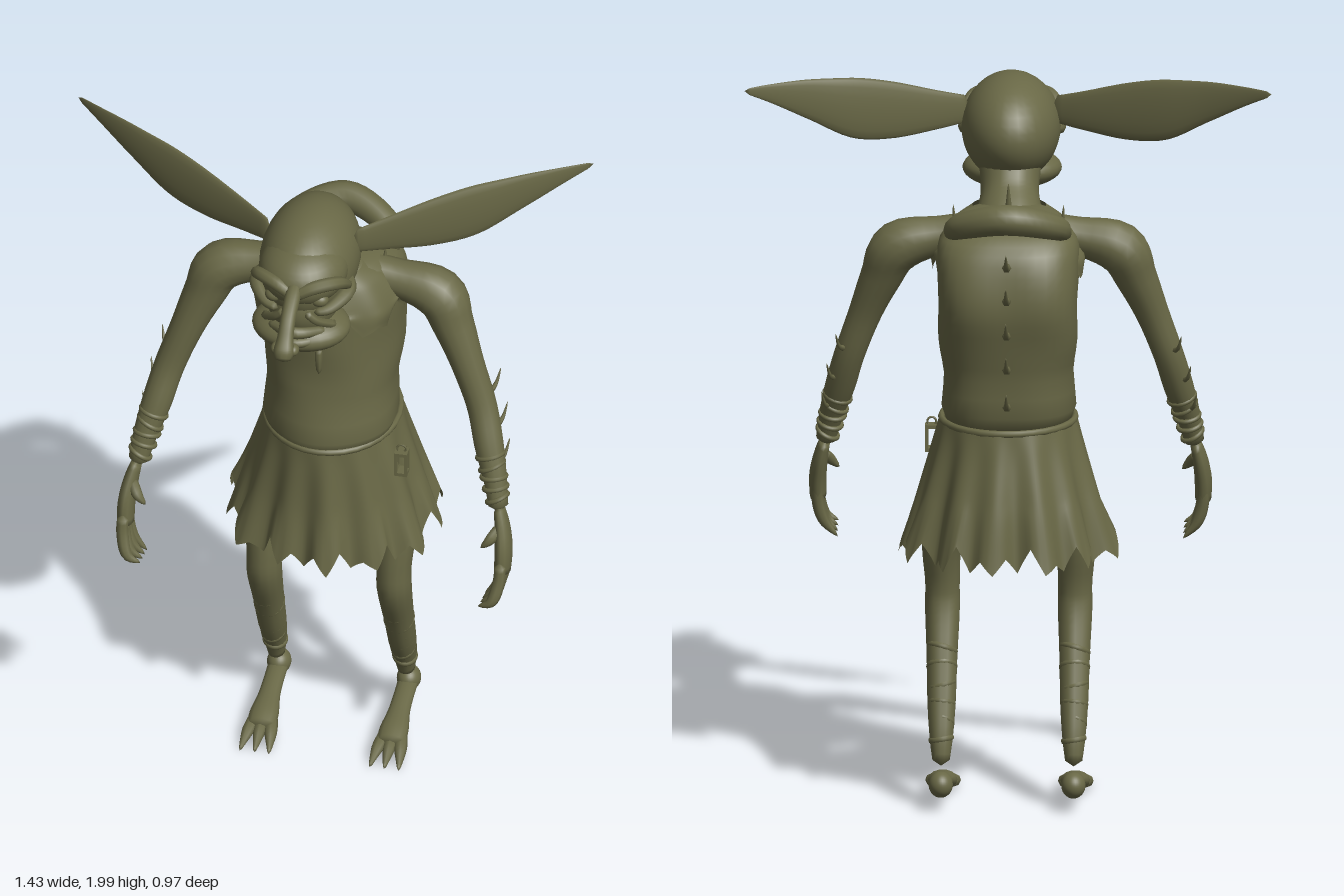
import * as THREE from 'three';
import { mergeVertices } from 'three/addons/utils/BufferGeometryUtils.js';

const skin = new THREE.MeshStandardMaterial({ color: 0x696846, side: THREE.DoubleSide });
skin.name = 'olive';

// Curve that keeps its control points evenly spaced in t
function evenCurve(points) {
  const c = new THREE.CatmullRomCurve3(points.map(p => new THREE.Vector3(...p)), false, 'catmullrom');
  c.getUtoTmapping = u => u;
  return c;
}

function smooth(geo) {
  geo.deleteAttribute('uv');
  geo.deleteAttribute('normal');
  const g = mergeVertices(geo, 1e-5);
  g.computeVertexNormals();
  return g;
}

function add(group, name, geo) {
  const m = new THREE.Mesh(geo, skin);
  m.name = name;
  group.add(m);
  return m;
}

// Tube of varying radius, points are [x, y, z, radius], squashed along the axes
function limb(group, name, pts, n = 24, sides = 12, squash = [1, 1, 1]) {
  const path = evenCurve(pts.map(p => p.slice(0, 3)));
  const rad = evenCurve(pts.map(p => [p[3], 0, 0]));
  const geo = new THREE.TubeGeometry(path, n, 1, sides);
  const pos = geo.attributes.position, v = new THREE.Vector3(), s = new THREE.Vector3(...squash);
  for (let i = 0; i <= n; i++) {
    const c = path.getPoint(i / n);
    const r = i === 0 || i === n ? 0 : Math.max(0.001, rad.getPoint(i / n).x);
    for (let j = 0; j <= sides; j++) {
      const k = i * (sides + 1) + j;
      v.fromBufferAttribute(pos, k).sub(c).multiplyScalar(r).multiply(s).add(c);
      pos.setXYZ(k, v.x, v.y, v.z);
    }
  }
  return add(group, name, smooth(geo));
}

// Elliptical shell from rows [y, centre z, half width, half depth], bottom row first
function shell(group, name, rows, pleat, rag = () => 0, seg = 48) {
  const a = evenCurve(rows.map(r => r.slice(0, 3))), b = evenCurve(rows.map(r => [r[3], 0, 0]));
  const geo = new THREE.CylinderGeometry(1, 1, 1, seg, 24, true);
  const pos = geo.attributes.position, uv = geo.attributes.uv;
  for (let i = 0; i < pos.count; i++) {
    const t = uv.getY(i), ang = (uv.getX(i) % 1) * Math.PI * 2, p = a.getPoint(t), k = pleat(ang, t);
    pos.setXYZ(i, Math.sin(ang) * p.z * k, p.x + rag(ang, t), p.y + Math.cos(ang) * b.getPoint(t).x * k);
  }
  return add(group, name, smooth(geo));
}

function ball(group, name, [x, y, z], [rx, ry, rz]) {
  const m = add(group, name, new THREE.SphereGeometry(1, 32, 20));
  m.position.set(x, y, z);
  m.scale.set(rx, ry, rz);
}

function ring(group, name, [x, y, z], r, tube, squash = [1, 1, 1], tilt = [0, 0, 0]) {
  const m = add(group, name, new THREE.TorusGeometry(r, tube, 8, 32).rotateX(Math.PI / 2).scale(...squash));
  m.position.set(x, y, z);
  m.rotation.set(...tilt);
}

// Curved thorn from a root to a tip, bending up
function thorn(group, name, [x, y, z], [dx, dy, dz], r) {
  limb(group, name, [[x, y, z, r], [x + dx * 0.6, y + dy * 0.25, z + dz * 0.6, r * 0.55],
    [x + dx, y + dy, z + dz, 0.001]], 10, 6);
}

// Ragged hem: triangle teeth of uneven depth, fading upward
const teeth = (n, depth) => (ang, t) => {
  const f = ang / (Math.PI * 2) * n, w = Math.abs((f % 1) * 2 - 1);
  return depth * w * (0.65 + 0.35 * Math.sin(Math.round(f) % n * 2.4)) * Math.max(0, 1 - t * 2.5);
};

// Fuller corners on the rear half of the back
const broadBack = (ang, amount) => Math.cos(ang) < 0 ? amount * Math.sin(2 * ang) ** 2 : 0;

function buildHead() {
  const g = new THREE.Group();
  g.name = 'head';
  ball(g, 'cranium', [0, 1.81, 0.112], [0.135, 0.147, 0.213]);
  ball(g, 'forehead', [0, 1.835, 0.2], [0.122, 0.09, 0.135]);
  ball(g, 'face', [0, 1.745, 0.2], [0.1, 0.11, 0.12]);
  ball(g, 'jaw', [0, 1.665, 0.23], [0.135, 0.055, 0.11]);
  limb(g, 'upperLip', [[-0.08, 1.69, 0.28, 0.012], [0, 1.705, 0.332, 0.017], [0.08, 1.69, 0.28, 0.012]], 16, 8);
  limb(g, 'lowerLip', [[-0.08, 1.672, 0.29, 0.012], [0, 1.674, 0.337, 0.014], [0.08, 1.672, 0.29, 0.012]], 16, 8);
  limb(g, 'nose', [[0, 1.85, 0.3, 0.02], [0, 1.835, 0.35, 0.022], [0, 1.805, 0.405, 0.021],
    [0, 1.765, 0.44, 0.023], [0, 1.735, 0.46, 0.029], [0, 1.712, 0.475, 0.018]], 24, 12);
  limb(g, 'neck', [[0, 1.53, -0.11, 0.13], [0, 1.59, -0.075, 0.1], [0, 1.65, -0.025, 0.08],
    [0, 1.71, 0.02, 0.083], [0, 1.77, 0.06, 0.09]], 20, 20);
  for (const s of [-1, 1]) {
    limb(g, 'brow', [[s * 0.13, 1.8, 0.21, 0.012], [s * 0.11, 1.85, 0.275, 0.018],
      [s * 0.055, 1.855, 0.316, 0.019], [0, 1.83, 0.333, 0.016]], 16, 8);
    ball(g, 'eye', [s * 0.062, 1.798, 0.29], [0.026, 0.02, 0.022]);
    limb(g, 'cheekbone', [[s * 0.115, 1.79, 0.15, 0.012], [s * 0.125, 1.782, 0.215, 0.022],
      [s * 0.09, 1.765, 0.28, 0.016], [s * 0.05, 1.76, 0.302, 0.01]], 16, 8);
    limb(g, 'cheekFold', [[s * 0.03, 1.765, 0.315, 0.01], [s * 0.06, 1.73, 0.3, 0.012], [s * 0.1, 1.69, 0.25, 0.014]], 12, 6);
    ball(g, 'nostril', [s * 0.024, 1.735, 0.445], [0.015, 0.016, 0.02]);
    // Long flat ear sweeping out and back
    limb(g, 'ear', [[s * 0.11, 1.86, 0.1, 0.035], [s * 0.2, 1.868, 0.05, 0.055], [s * 0.32, 1.882, -0.01, 0.08],
      [s * 0.43, 1.902, -0.065, 0.085], [s * 0.54, 1.938, -0.12, 0.058], [s * 0.64, 1.967, -0.175, 0.028],
      [s * 0.715, 1.985, -0.22, 0.006]], 32, 16, [0.18, 1, 0.18]);
  }
  return g;
}

function buildBody() {
  const g = new THREE.Group();
  g.name = 'body';
  shell(g, 'torso', [[1.04, -0.15, 0.01, 0.01], [1.06, -0.15, 0.17, 0.17], [1.2, -0.165, 0.175, 0.175],
    [1.3, -0.18, 0.187, 0.18], [1.4, -0.19, 0.188, 0.193], [1.5, -0.185, 0.192, 0.187],
    [1.58, -0.17, 0.185, 0.165], [1.63, -0.14, 0.13, 0.11], [1.65, -0.12, 0.04, 0.04]],
    (a, t) => 1 + 0.008 * Math.sin(a * 5 + t * 14) + broadBack(a, 0.16 * Math.sin(Math.PI * t)));
  shell(g, 'collar', [[1.47, -0.14, 0.2, 0.195], [1.53, -0.14, 0.205, 0.185], [1.6, -0.12, 0.16, 0.14],
    [1.64, -0.09, 0.1, 0.09]], (a, t) => 1 + 0.03 * (1 - t) * Math.sin(a * 9) + broadBack(a, 0.12 * (1 - t)),
    teeth(14, 0.065), 112);
  shell(g, 'skirt', [[0.695, -0.2, 0.285, 0.265], [0.85, -0.2, 0.245, 0.243], [1.0, -0.19, 0.205, 0.222],
    [1.08, -0.185, 0.185, 0.212]],
    (a, t) => 1 + (1 - t) * (0.06 * Math.sin(a * 13) + 0.03 * Math.sin(a * 7 + 1)), teeth(26, 0.075), 208);
  ring(g, 'belt', [0, 1.072, -0.185], 1, 0.05, [0.182, 0.2, 0.208]);
  limb(g, 'shoulderRoll', [[-0.155, 1.59, -0.225, 0.02], [-0.125, 1.63, -0.3, 0.036], [0, 1.662, -0.355, 0.043],
    [0.125, 1.63, -0.3, 0.036], [0.155, 1.59, -0.225, 0.02]], 28, 12);
  limb(g, 'chestLace', [[0, 1.41, 0, 0.01], [0, 1.37, 0.005, 0.01], [0, 1.32, 0.002, 0.006]], 8, 6);
  // Thorns down the spine, on the nape and on the collar
  for (const [y, z] of [[1.53, -0.36], [1.44, -0.375], [1.34, -0.365], [1.24, -0.345], [1.13, -0.32]])
    thorn(g, 'spineThorn', [0, y, z], [0, 0.06, -0.1], 0.014);
  thorn(g, 'napeThorn', [0, 1.62, -0.14], [0, 0.1, -0.025], 0.018);
  for (const s of [-1, 1]) thorn(g, 'collarThorn', [s * 0.14, 1.58, -0.15], [s * 0.01, 0.08, -0.02], 0.014);
  // Small frame lantern on the left hip
  const lantern = new THREE.Group();
  lantern.name = 'hipLantern';
  lantern.position.set(0.21, 0.99, -0.09);
  for (const y of [-0.035, 0.03]) add(lantern, 'lanternPlate', new THREE.BoxGeometry(0.036, 0.01, 0.036)).position.y = y;
  for (const x of [-0.014, 0.014]) for (const z of [-0.014, 0.014])
    add(lantern, 'lanternPost', new THREE.BoxGeometry(0.008, 0.065, 0.008)).position.set(x, 0, z);
  add(lantern, 'lanternHandle', new THREE.TorusGeometry(0.012, 0.003, 6, 16)).position.y = 0.042;
  g.add(lantern);
  return g;
}

function buildArm(s) {
  const g = new THREE.Group();
  g.name = s > 0 ? 'leftArm' : 'rightArm';
  const P = pts => pts.map(([x, ...r]) => [s * x, ...r]);
  limb(g, 'arm', P([[0.06, 1.58, -0.15, 0.06], [0.18, 1.568, -0.148, 0.053], [0.3, 1.535, -0.145, 0.07],
    [0.345, 1.45, -0.128, 0.058], [0.39, 1.34, -0.105, 0.046], [0.433, 1.22, -0.085, 0.042],
    [0.46, 1.12, -0.05, 0.041], [0.485, 1.03, -0.015, 0.033], [0.503, 0.94, 0.015, 0.026]]), 36, 14);
  for (let i = 0; i < 5; i++)
    ring(g, 'wristWrap', [s * (0.467 + i * 0.007), 1.09 - i * 0.028, -0.038 + i * 0.01], 0.036 - i * 0.0015, 0.007,
      [1, 1, 1], [-0.3, 0, s * (0.3 + 0.2 * Math.sin(i * 2))]);
  limb(g, 'palm', P([[0.5, 0.96, 0.01, 0.026], [0.515, 0.9, 0.03, 0.04], [0.523, 0.84, 0.052, 0.047],
    [0.522, 0.77, 0.066, 0.044]]), 14, 12, [0.5, 1, 1]);
  for (let i = 0; i < 4; i++) {
    const z = 0.025 + i * 0.025, e = 0.04 + i * 0.03;
    limb(g, 'finger', P([[0.523, 0.83, z, 0.015], [0.522, 0.775, z + 0.01, 0.017], [0.506, 0.72, e, 0.015],
      [0.468, 0.675 + 0.008 * i, e, 0.003]]), 14, 8);
  }
  limb(g, 'thumb', P([[0.51, 0.91, 0.04, 0.014], [0.49, 0.885, 0.07, 0.015], [0.465, 0.86, 0.08, 0.004]]), 10, 8);
  for (const [x, y, z] of [[0.445, 1.24, -0.11], [0.47, 1.15, -0.08], [0.485, 1.06, -0.04]])
    thorn(g, 'armThorn', [s * x, y, z], [s * 0.025, 0.055, -0.055], 0.01);
  return g;
}

function buildLeg(s) {
  const g = new THREE.Group();
  g.name = s > 0 ? 'leftLeg' : 'rightLeg';
  const X = s * 0.18;
  limb(g, 'leg', [[s * 0.11, 1.0, -0.18, 0.07], [s * 0.15, 0.86, -0.165, 0.075], [X, 0.72, -0.148, 0.062],
    [X, 0.6, -0.13, 0.053], [X, 0.52, -0.135, 0.053], [X, 0.4, -0.185, 0.047], [X, 0.28, -0.235, 0.043],
    [X, 0.19, -0.275, 0.035], [X, 0.12, -0.295, 0.024]], 36, 14, [0.9, 1, 1]);
  // Loose rag wraps on the shin
  for (let i = 0; i < 6; i++)
    ring(g, 'shinWrap', [X, 0.42 - i * 0.046, -0.178 - i * 0.019], 0.042 - i * 0.002, 0.006, [0.93, 1.4, 1.03],
      [0.4 + 0.25 * Math.sin(i * 2.1), 0, 0.3 * Math.cos(i * 1.7)]);
  ball(g, 'heel', [X, 0.075, -0.325], [0.033, 0.036, 0.038]);
  limb(g, 'foot', [[X, 0.07, -0.34, 0.03], [X, 0.066, -0.28, 0.028], [X, 0.055, -0.2, 0.03],
    [X, 0.04, -0.13, 0.04], [X, 0.028, -0.075, 0.038]], 24, 14, [1, 0.65, 1]);
  for (let i = -1; i <= 1; i++)
    limb(g, 'toe', [[X + i * 0.02, 0.035, -0.13, 0.018], [X + i * 0.03, 0.025, -0.075, 0.018],
      [X + i * 0.036, 0.014, -0.035, 0.011], [X + i * 0.04, 0.003, 0.0, 0.003]], 12, 8);
  return g;
}

export function createModel() {
  const model = new THREE.Group();
  model.name = 'goblin';
  model.add(buildHead(), buildBody());
  for (const s of [-1, 1]) model.add(buildArm(s), buildLeg(s));
  return model;
}
